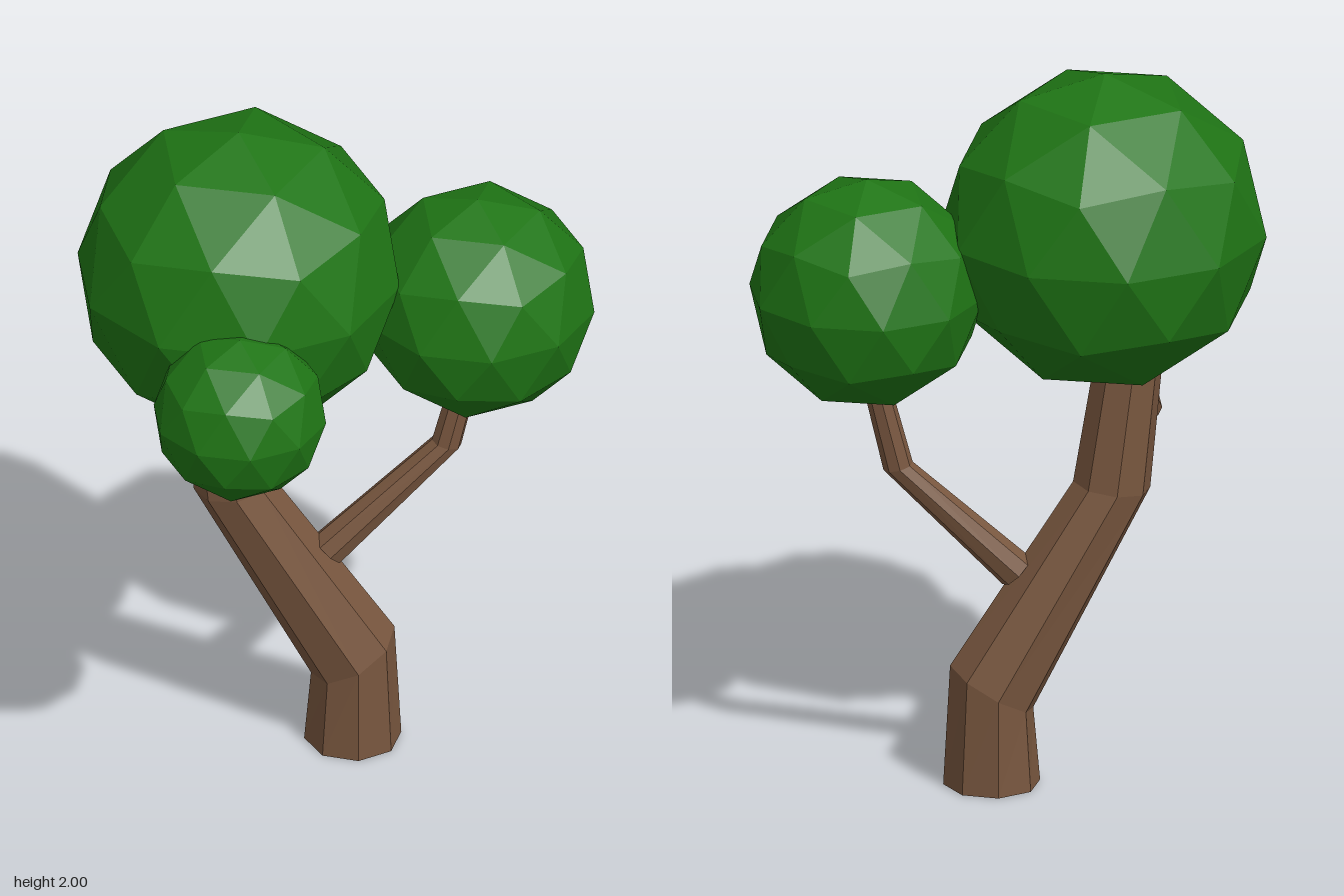
import * as THREE from 'three';

const SIDES = 8;

// Faceted limb: octagonal rings [x, y, z, radius], each square to the segment that follows it
function limbGeometry(rings, side) {
  const centres = rings.map(([x, y, z]) => new THREE.Vector3(x, y, z));
  const last = rings.length - 1;
  const positions = [];
  const index = [];
  rings.forEach((ring, i) => {
    const k = Math.min(i, last - 1);
    const along = centres[k + 1].clone().sub(centres[k]).normalize();
    const v = along.clone().cross(side).normalize();
    const u = v.clone().cross(along);
    for (let j = 0; j < SIDES; j++) {
      const a = (j / SIDES) * Math.PI * 2;
      const p = centres[i].clone()
        .addScaledVector(u, Math.cos(a) * ring[3])
        .addScaledVector(v, Math.sin(a) * ring[3]);
      positions.push(p.x, p.y, p.z);
    }
  });
  for (let i = 0; i < last; i++) {
    for (let j = 0; j < SIDES; j++) {
      const n = (j + 1) % SIDES;
      const a = i * SIDES + j, b = i * SIDES + n;
      index.push(a, b, b + SIDES, a, b + SIDES, a + SIDES);
    }
  }
  // end caps
  const top = last * SIDES;
  for (let j = 1; j < SIDES - 1; j++) {
    index.push(0, j + 1, j, top, top + j, top + j + 1);
  }
  const geometry = new THREE.BufferGeometry();
  geometry.setAttribute('position', new THREE.Float32BufferAttribute(positions, 3));
  geometry.setIndex(index);
  const flat = geometry.toNonIndexed();
  flat.computeVertexNormals();
  return flat;
}

export function createModel() {
  const tree = new THREE.Group();
  tree.name = 'tree';
  const bark = new THREE.MeshStandardMaterial({ color: 0x79573f, flatShading: true });
  const leaves = new THREE.MeshStandardMaterial({ color: 0x1f7515, flatShading: true });

  const add = (name, geometry, material) => {
    const mesh = new THREE.Mesh(geometry, material);
    mesh.name = name;
    tree.add(mesh);
    return mesh;
  };

  const xAxis = new THREE.Vector3(1, 0, 0);
  const zAxis = new THREE.Vector3(0, 0, 1);

  // Trunk and branches
  add('trunk', limbGeometry([
    [0.047, 0, -0.185, 0.132],
    [0.047, 0.275, -0.185, 0.131],
    [-0.28, 0.84, -0.185, 0.106],
    [-0.335, 1.26, -0.185, 0.09],
  ], zAxis), bark);
  add('leftBranch', limbGeometry([
    [-0.02, 0.605, -0.185, 0.053],
    [0.302, 0.923, -0.185, 0.041],
    [0.371, 1.2, -0.185, 0.036],
  ], zAxis), bark);
  add('frontBranch', limbGeometry([
    [-0.385, 1.045, -0.16, 0.036],
    [-0.395, 1.105, 0.132, 0.028],
    [-0.393, 1.26, 0.225, 0.026],
  ], xAxis), bark);

  // Leaf balls, each turned to stand on a corner
  const balls = {
    mainFoliage: [-0.27, 1.557, -0.125, 0.443],
    leftFoliage: [0.38, 1.41, -0.13, 0.321],
    frontFoliage: [-0.32, 1.385, 0.32, 0.237],
  };
  const tilt = Math.atan(2 / (1 + Math.sqrt(5)));
  for (const [name, [x, y, z, r]] of Object.entries(balls)) {
    const ball = new THREE.IcosahedronGeometry(r, 1).rotateZ(-tilt);
    add(name, ball, leaves).position.set(x, y, z);
  }
  return tree;
}
